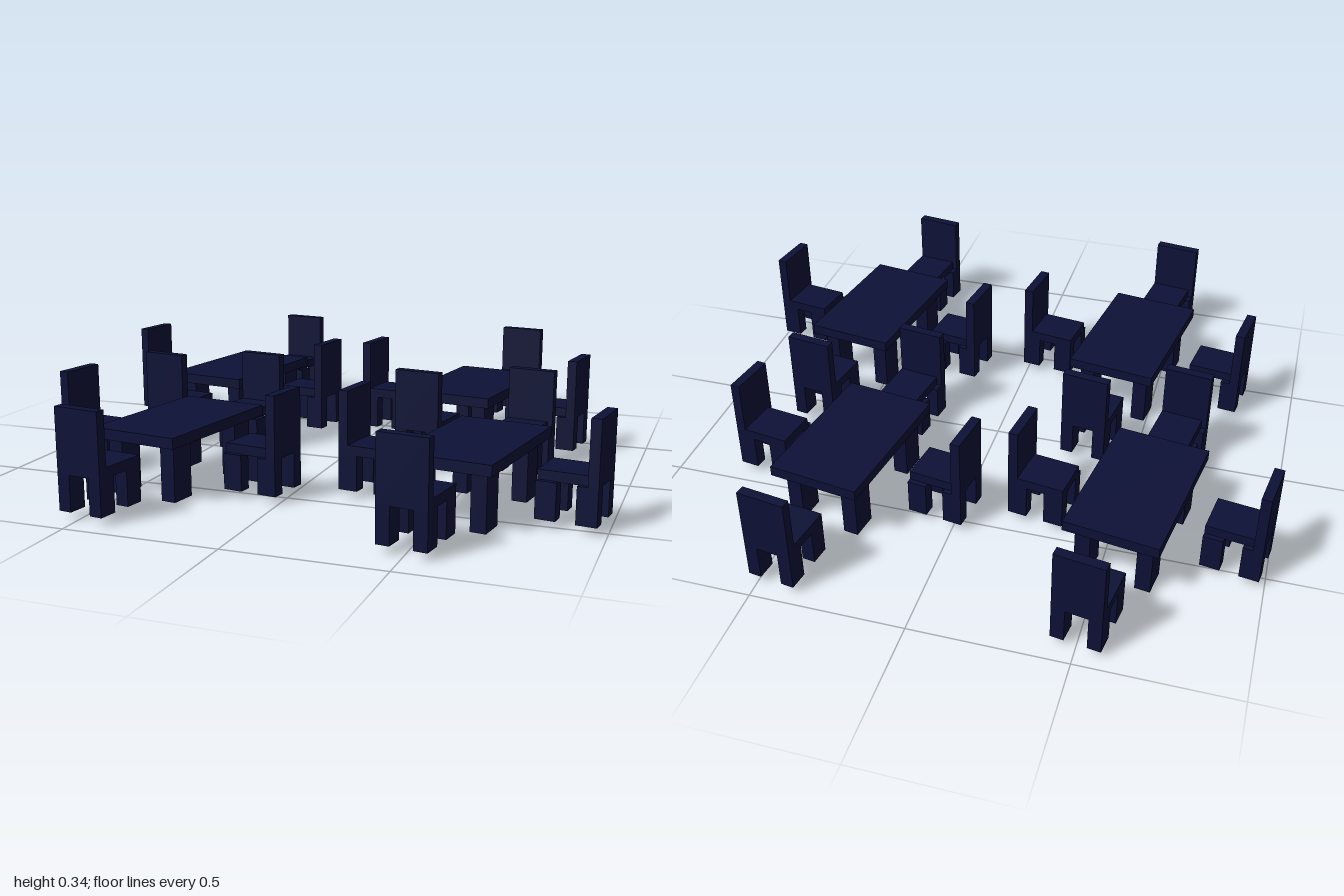
import * as THREE from 'three';

const material = new THREE.MeshStandardMaterial({ color: 0x0d1136 });

// Adds a box given its [min, max] range on each axis
function box(parent, name, [x0, x1], [y0, y1], [z0, z1]) {
  const mesh = new THREE.Mesh(new THREE.BoxGeometry(x1 - x0, y1 - y0, z1 - z0), material);
  mesh.name = name;
  mesh.position.set((x0 + x1) / 2, (y0 + y1) / 2, (z0 + z1) / 2);
  parent.add(mesh);
}

// Table: top slab on four rectangular legs
function createTable() {
  const table = new THREE.Group();
  table.name = 'table';
  box(table, 'tableTop', [-0.153, 0.153], [0.185, 0.22], [-0.256, 0.256]);
  for (const x of [-0.1, 0.1]) {
    for (const z of [-0.17, 0.17]) {
      box(table, 'tableLeg', [x - 0.025, x + 0.025], [0, 0.185], [z - 0.045, z + 0.045]);
    }
  }
  return table;
}

// Chair facing +z; the seat stops short of the legs on its left side
function createChair() {
  const chair = new THREE.Group();
  chair.name = 'chair';
  const w = 0.079, d = 0.094;
  box(chair, 'seat', [-w, 0.062], [0.14, 0.172], [-d + 0.03, d]);
  box(chair, 'backrest', [-w, w], [0.14, 0.345], [-d, -d + 0.032]);
  for (const x of [-w, w - 0.043]) {
    for (const z of [-d, d - 0.064]) {
      box(chair, 'chairLeg', [x, x + 0.043], [0.025, 0.142], [z, z + 0.064]);
    }
  }
  return chair;
}

export function createModel() {
  const model = new THREE.Group();
  model.name = 'diningTables';

  // Chair places around a table: x, z, turn
  const places = [
    [-0.002, -0.432, 0],
    [-0.008, 0.407, Math.PI],
    [-0.326, 0.018, Math.PI / 2],
    [0.316, 0.005, -Math.PI / 2],
  ];

  // Four identical sets, all turned by the same small angle
  const centres = [[-0.575, -0.425], [0.375, -0.425], [-0.4, 0.437], [0.577, 0.396]];
  for (const [cx, cz] of centres) {
    const set = new THREE.Group();
    set.name = 'tableSet';
    set.add(createTable());
    for (const [x, z, turn] of places) {
      const chair = createChair();
      chair.position.set(x, 0, z);
      chair.rotation.y = turn;
      set.add(chair);
    }
    set.position.set(cx, 0, cz);
    set.rotation.y = -0.1475;
    model.add(set);
  }
  return model;
}
